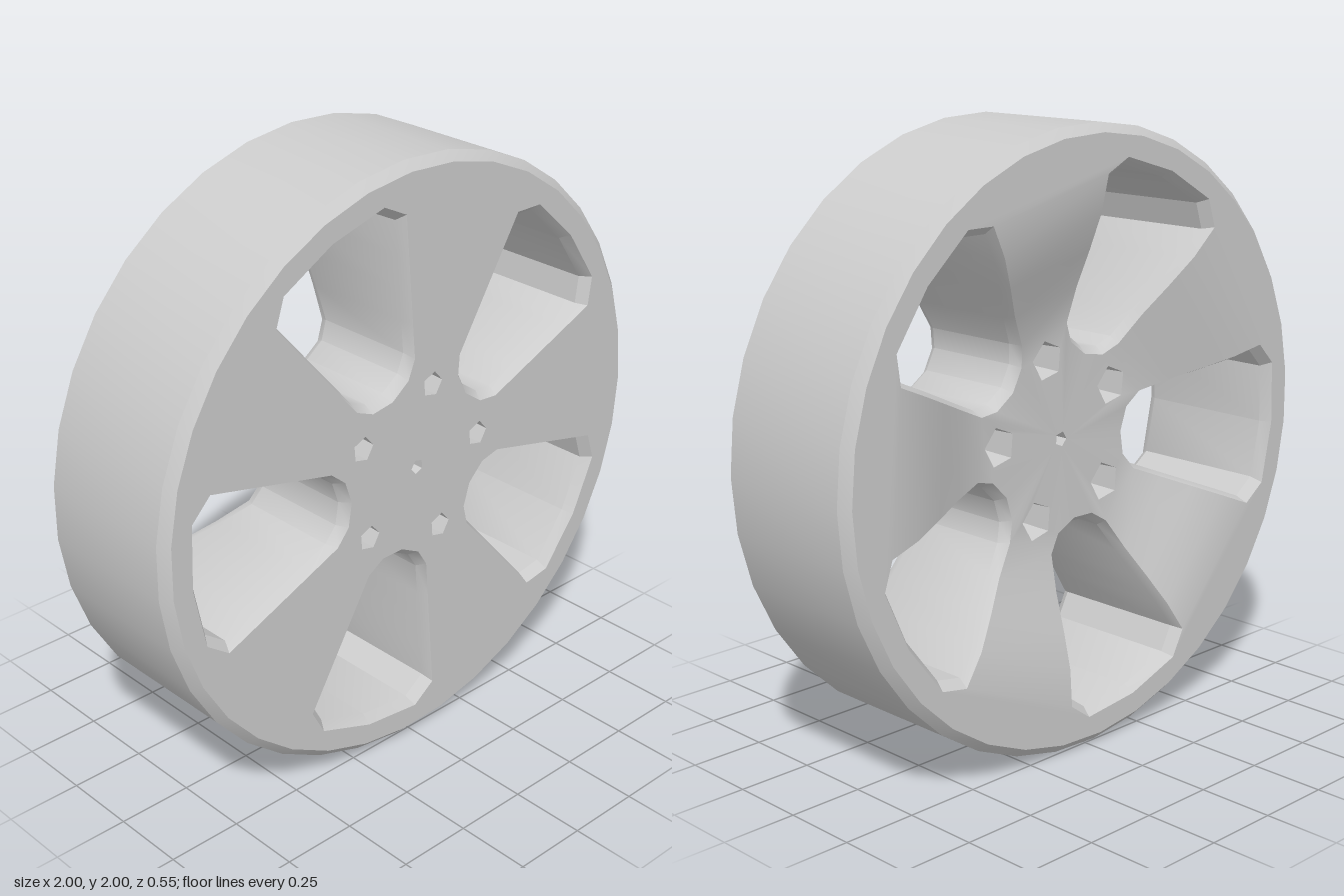
import * as THREE from 'three';
import { mergeGeometries, toCreasedNormals } from 'three/addons/utils/BufferGeometryUtils.js';

const SPOKES = 5;
const STEP = (Math.PI * 2) / SPOKES;
const FIRST = THREE.MathUtils.degToRad(5);
const HALF_DEPTH = 0.275;
const V2 = (x, y) => new THREE.Vector2(x, y);
const turn = (p, a) => p.clone().rotateAround(V2(0, 0), a);

// The front is flat; the back sinks towards the hub
const frontZ = () => HALF_DEPTH;
const backZ = (r) => -0.135 - (HALF_DEPTH - 0.135) * THREE.MathUtils.smoothstep(r, 0.3, 0.85);

// Half outline of a window (u along the radius, v across), from hub to rim
const halfWindow = [V2(0.28, 0), V2(0.3, 0.08), V2(0.35, 0.13)];
for (let i = 1; i <= 4; i++) halfWindow.push(V2(0.35, 0.13).lerp(V2(0.8, 0.275), i / 4));
halfWindow.push(V2(0.875, 0.21), V2(0.9, 0));
const NECK = 2, SHOULDER = 6;

function circle(n, r, cx = 0, start = 0) {
  return Array.from({ length: n }, (_, i) => {
    const a = start + (i / n) * Math.PI * 2;
    return V2(cx + r * Math.cos(a), r * Math.sin(a));
  });
}

// Flat patch lifted onto the front or back surface
function patch(points, holes, zOf, isBack) {
  const shape = new THREE.Shape(points);
  holes.forEach((h) => shape.holes.push(new THREE.Path(h)));
  const g = new THREE.ShapeGeometry(shape);
  const p = g.attributes.position;
  for (let i = 0; i < p.count; i++) p.setZ(i, zOf(Math.hypot(p.getX(i), p.getY(i))));
  if (isBack) g.index.array.reverse();
  return bare(g);
}

function bare(g) {
  const out = g.index ? g.toNonIndexed() : g;
  out.deleteAttribute('uv');
  out.deleteAttribute('normal');
  return out;
}

// Skin between closed rings of points, ordered front to back
function loft(rings) {
  const n = rings[0].length;
  const pos = rings.flat().flatMap((v) => [v.x, v.y, v.z]);
  const idx = [];
  for (let k = 0; k < rings.length - 1; k++) {
    for (let i = 0; i < n; i++) {
      const a = k * n + i, b = k * n + ((i + 1) % n);
      idx.push(a, a + n, b, b, a + n, b + n);
    }
  }
  const g = new THREE.BufferGeometry();
  g.setAttribute('position', new THREE.Float32BufferAttribute(pos, 3));
  g.setIndex(idx);
  return bare(g);
}

const ring = (points, zOf) => points.map((p, i) => new THREE.Vector3(p.x, p.y, zOf(p, i)));

function mesh(name, parts) {
  const g = toCreasedNormals(mergeGeometries(parts), 0.6);
  const m = new THREE.Mesh(g, new THREE.MeshStandardMaterial({ color: 0xcccccc }));
  m.name = name;
  return m;
}

// One fifth of the front or back face: rim edge, spoke and hub
function faceSector(isBack) {
  const zOf = isBack ? backZ : frontZ;
  const left = halfWindow.map((p) => turn(V2(p.x, -p.y), STEP / 2));
  const right = left.map((p) => V2(p.x, -p.y));
  const arc = Array.from({ length: 8 }, (_, i) => turn(V2(0.97, 0), STEP * (i / 7 - 0.5)));
  const parts = [
    patch([...arc, ...left.slice(SHOULDER).reverse(), ...right.slice(SHOULDER)], [], zOf, isBack),
  ];
  for (let i = NECK; i < SHOULDER; i++) {
    parts.push(patch([right[i], right[i + 1], left[i + 1], left[i]], [], zOf, isBack));
  }
  const centre = [turn(V2(0.025, 0), -STEP / 2), turn(V2(0.025, 0), STEP / 2)];
  const hub = [centre[0], ...right.slice(0, NECK + 1), ...left.slice(0, NECK + 1).reverse(), centre[1]];
  parts.push(patch(hub, [circle(5, isBack ? 0.065 : 0.042, 0.27)], zOf, isBack));
  return parts;
}

// Chamfered tunnel through the wheel
function windowWall() {
  const mirrored = halfWindow.slice(1, -1).reverse().map((p) => V2(p.x, -p.y));
  const edge = [...halfWindow, ...mirrored].map((p) => turn(p, STEP / 2));
  const mid = turn(V2(0.6, 0), STEP / 2);
  const inner = edge.map((p) => p.clone().sub(mid).multiplyScalar(0.925).add(mid));
  return loft([
    ring(edge, frontZ),
    ring(inner, () => HALF_DEPTH - 0.035),
    ring(inner, (p, i) => backZ(edge[i].length()) + 0.035),
    ring(edge, (p) => backZ(p.length())),
  ]);
}

function lugWall() {
  return loft([
    ring(circle(5, 0.042, 0.27).reverse(), frontZ),
    ring(circle(5, 0.065, 0.27).reverse(), (p) => backZ(p.length())),
  ]);
}

export function createModel() {
  const wheel = new THREE.Group();
  wheel.name = 'wheel';
  const body = new THREE.Group();
  body.position.y = 1;
  wheel.add(body);

  const repeat = (parts) => {
    const all = [];
    for (let k = 0; k < SPOKES; k++) {
      parts.forEach((g) => all.push(g.clone().rotateZ(FIRST + k * STEP)));
    }
    return all;
  };
  body.add(mesh('frontFace', repeat(faceSector(false))));
  body.add(mesh('backFace', repeat(faceSector(true))));

  // The window outline runs clockwise from the hub, so its skin faces inwards
  const windows = mesh('windowWalls', repeat([windowWall()]));
  windows.material.side = THREE.DoubleSide;
  body.add(windows);
  body.add(mesh('lugHoles', repeat([lugWall()])));

  // Small hole through the hub
  const bore = circle(5, 0.025, 0, FIRST + STEP / 2).reverse();
  body.add(mesh('centreBore', [loft([ring(bore, frontZ), ring(bore, (p) => backZ(p.length()))])]));

  // Outer tread with bevelled edges
  const outer = [[0.97, HALF_DEPTH], [1, 0.245], [1, -0.245], [0.97, -HALF_DEPTH]];
  const start = FIRST + STEP / 2;
  body.add(mesh('outerRim', [loft(outer.map(([r, z]) => ring(circle(35, r, 0, start), () => z)))]));
  return wheel;
}
